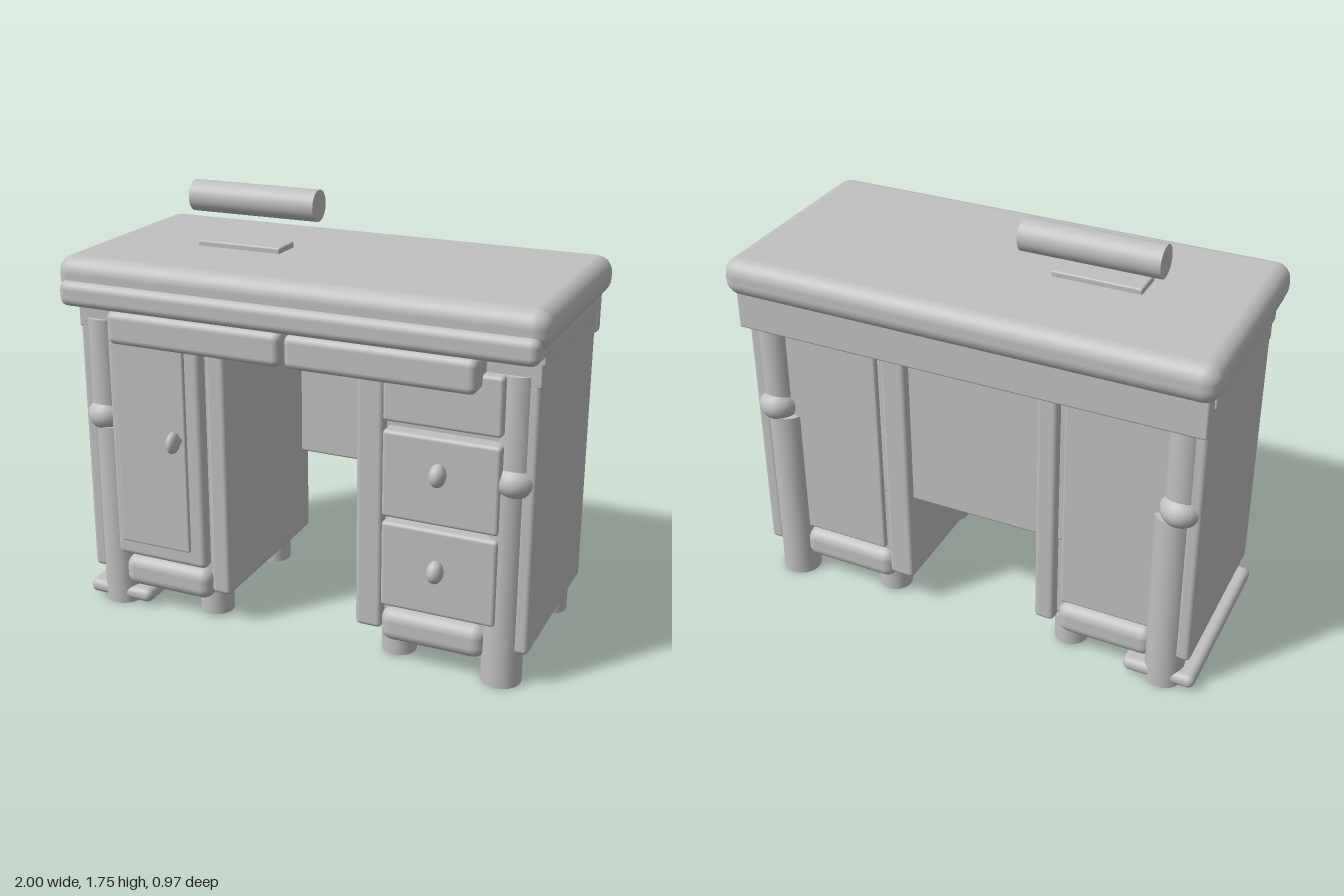
import * as THREE from 'three';
import { RoundedBoxGeometry } from 'three/addons/geometries/RoundedBoxGeometry.js';

export function createModel() {
  const desk = new THREE.Group();
  desk.name = 'desk';
  const grey = new THREE.MeshStandardMaterial({ color: 0xc0c0c0 });
  grey.name = 'plain grey';

  const add = (name, geometry, x = 0, y = 0, z = 0) => {
    const mesh = new THREE.Mesh(geometry, grey);
    mesh.name = name;
    mesh.position.set(x, y, z);
    desk.add(mesh);
    return mesh;
  };
  // Rounded box given by its limits on each axis
  const box = (name, [x0, x1], [y0, y1], [z0, z1], r = 0.015) =>
    add(name, new RoundedBoxGeometry(x1 - x0, y1 - y0, z1 - z0, 4, r),
      (x0 + x1) / 2, (y0 + y1) / 2, (z0 + z1) / 2);
  const post = (name, r, y0, y1, x, z) =>
    add(name, new THREE.CylinderGeometry(r, r, y1 - y0, 32), x, (y0 + y1) / 2, z);
  const ball = (name, rx, ry, rz, x, y, z) =>
    add(name, new THREE.SphereGeometry(1, 28, 18), x, y, z).scale.set(rx, ry, rz);

  // Table top, front lip and apron
  box('tableTop', [-1, 1], [1.36, 1.515], [-0.485, 0.46], 0.065);
  box('frontLip', [-0.975, 0.975], [1.32, 1.425], [0.3, 0.485], 0.035);
  box('apron', [-0.96, 0.96], [1.21, 1.38], [-0.4, 0.365], 0.008);
  box('backRail', [-0.965, 0.965], [1.21, 1.38], [-0.44, -0.39], 0.01);
  for (const s of [-1, 1]) {
    box('apronMoulding', s < 0 ? [-0.97, -0.94] : [0.94, 0.97], [1.295, 1.37], [-0.365, 0.365], 0.008);
  }

  // Wide shallow drawers under the top
  box('wideDrawer', [-0.76, -0.01], [1.19, 1.325], [0.3, 0.485], 0.03);
  box('wideDrawer', [0.005, 0.755], [1.19, 1.325], [0.3, 0.485], 0.03);

  // Panel at the back of the knee space
  box('modestyPanel', [-0.42, 0.4], [0.53, 1.25], [-0.35, -0.31], 0.012);

  // Two pedestals with their panels, legs and feet
  for (const s of [-1, 1]) {
    const span = (a, b) => (s < 0 ? [-b, -a] : [a, b]);
    box('pedestalBody', span(0.34, 0.92), [0.16, 1.25], [-0.345, 0.345]);
    box('sidePanel', span(0.895, 0.958), [0.145, 1.23], [-0.39, 0.365], 0.02);
    box('innerPanel', s < 0 ? [-0.38, -0.295] : [0.26, 0.37], [0.14, 1.23], [-0.385, 0.385], 0.02);
    box('pedestalBase', s < 0 ? [-0.8, -0.39] : [0.36, 0.79], [0.09, 0.23], [-0.385, 0.39], 0.05);
    box('backPanel', span(0.4, 0.82), [0.24, 1.23], [-0.365, -0.33], 0.012);

    for (const f of [-1, 1]) {
      const z = f > 0 ? 0.315 : -0.335;
      post('lowerLeg', 0.08, 0, 0.8, s * 0.845, z);
      post('upperLeg', 0.07, 0.8, 1.25, s * 0.87, z);
      ball('legKnob', 0.083, 0.07, 0.09, s * 0.87, 0.84, f > 0 ? 0.325 : -0.35);
      post('innerFoot', 0.07, 0.01, 0.13, s < 0 ? -0.42 : 0.405, f > 0 ? 0.265 : -0.275);
    }
  }

  // Foot plate joining the legs on one side
  box('footPlate', [-0.985, -0.685], [0.015, 0.075], [-0.4, 0.38], 0.028);

  // Cupboard door with raised panel
  box('doorFrame', [-0.82, -0.4], [0.24, 1.25], [0.33, 0.395], 0.025);
  box('doorPanel', [-0.785, -0.465], [0.31, 1.25], [0.37, 0.408], 0.01);

  // Small drawers
  for (const [y0, y1] of [[0.26, 0.615], [0.635, 0.985], [1.02, 1.25]]) {
    box('smallDrawer', [0.375, 0.835], [y0, y1], [0.32, 0.408], 0.015);
  }

  // Handles, each a flattened ball on a short stem
  for (const [x, y, r] of [[-0.5, 0.805, 0.024], [0.61, 0.855, 0.032], [0.61, 0.465, 0.032]]) {
    ball('handle', r, 0.045, 0.04, x, y, 0.445);
    add('handleStem', new THREE.CylinderGeometry(0.02, 0.02, 0.05, 20), x, y, 0.42).rotation.x = Math.PI / 2;
  }

  // Tray and rolled sheet above the top
  box('tray', [-0.57, -0.205], [1.505, 1.538], [-0.065, 0.07], 0.008);
  add('roll', new THREE.CylinderGeometry(0.064, 0.064, 0.555, 40), -0.387, 1.683, -0.096).rotation.z = Math.PI / 2;

  return desk;
}
